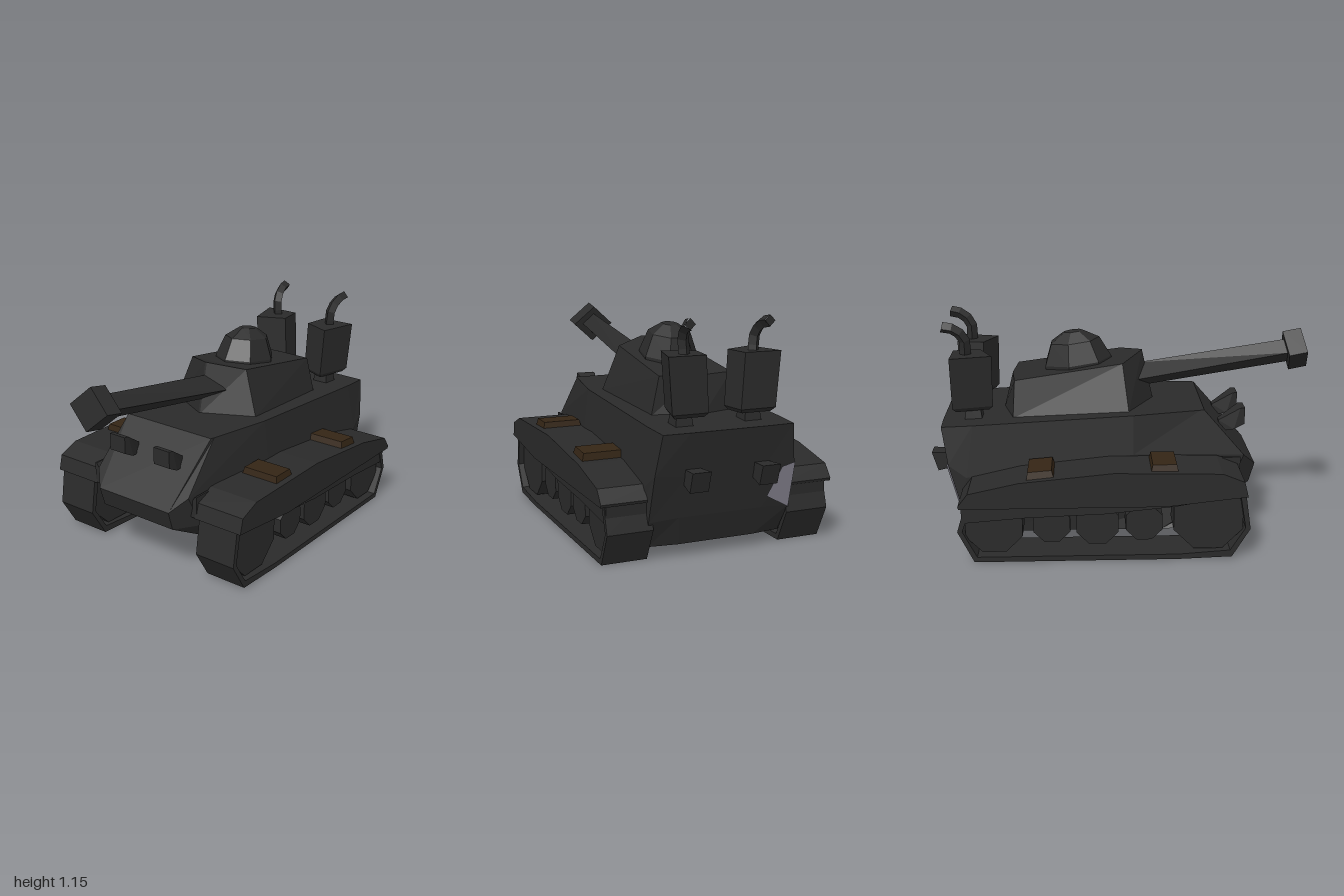
import * as THREE from 'three';

const flat = (name, color, side = THREE.FrontSide) => {
  const m = new THREE.MeshStandardMaterial({ color, flatShading: true, side });
  m.name = name;
  return m;
};

// Join rings of points with quads and close both ends; flipped if inside out.
function loft(rings) {
  const pos = [];
  const n = rings[0].length;
  const quad = (a, b, c, d) => pos.push(...a, ...b, ...c, ...a, ...c, ...d);
  for (let k = 0; k < rings.length - 1; k++)
    for (let i = 0; i < n; i++) {
      const j = (i + 1) % n;
      quad(rings[k][i], rings[k][j], rings[k + 1][j], rings[k + 1][i]);
    }
  const cap = (r, up) => {
    for (let i = 0; i < n / 2 - 1; i++) {
      const q = [r[i], r[i + 1], r[n - 2 - i], r[n - 1 - i]];
      quad(...(up ? q : q.reverse()));
    }
  };
  cap(rings[0], false);
  cap(rings[rings.length - 1], true);
  let volume = 0;
  const v = i => new THREE.Vector3().fromArray(pos, i);
  for (let i = 0; i < pos.length; i += 9) volume += v(i).dot(v(i + 3).cross(v(i + 6)));
  if (volume < 0)
    for (let i = 0; i < pos.length; i += 9)
      for (let k = 0; k < 3; k++) [pos[i + 3 + k], pos[i + 6 + k]] = [pos[i + 6 + k], pos[i + 3 + k]];
  const g = new THREE.BufferGeometry();
  g.setAttribute('position', new THREE.Float32BufferAttribute(pos, 3));
  g.computeVertexNormals();
  return g;
}

// Full ring from the points of its +x half.
const mirrorRing = half => [...half, ...half.map(([x, y, z]) => [-x, y, z]).reverse()];

// Rectangles lying flat (in xz) or upright (in xy), and an upright diamond
const flatRect = (x, y, z, w, d) =>
  [[x - w / 2, y, z - d / 2], [x + w / 2, y, z - d / 2], [x + w / 2, y, z + d / 2], [x - w / 2, y, z + d / 2]];
const uprightRect = (x, y, z, w, h, lean = 0) =>
  [[x - w / 2, y - h / 2, z - lean], [x + w / 2, y - h / 2, z - lean],
    [x + w / 2, y + h / 2, z + lean], [x - w / 2, y + h / 2, z + lean]];
const diamond = (y, z, rx, ry) => [[rx, y, z], [0, y + ry, z], [-rx, y, z], [0, y - ry, z]];

// Extrude a side profile of [z, y] points from x0 to x1 on side s.
function sideExtrude(profile, s, x0, x1, hole) {
  const pts = p => p.map(([z, y]) => new THREE.Vector2(-z, y));
  const shape = new THREE.Shape(pts(profile));
  if (hole) shape.holes.push(new THREE.Path(pts(hole)));
  const g = new THREE.ExtrudeGeometry(shape, { depth: x1 - x0, bevelEnabled: false });
  g.rotateY(Math.PI / 2);
  return g.translate(s > 0 ? x0 : -x1, 0, 0);
}

export function createModel() {
  const model = new THREE.Group();
  model.name = 'tank';
  const steel = flat('dark steel', 0x2a2a2a);
  const wood = flat('brown hatch', 0x342515);
  const pale = flat('pale grey', 0x8a8894, THREE.DoubleSide);
  const add = (name, geometry, material = steel, parent = model) => {
    const m = new THREE.Mesh(geometry, material);
    m.name = name;
    parent.add(m);
    return m;
  };

  // Hull: stacked outlines, each running from nose to tail
  add('hull', loft([
    [[0.36, 0.065, 0.25], [0.36, 0.065, 0.2], [0.36, 0.065, -0.2], [0.36, 0.065, -0.65], [0.35, 0.065, -0.78], [0.2, 0.065, -0.8]],
    [[0.23, 0.275, 0.67], [0.32, 0.28, 0.55], [0.365, 0.28, 0.05], [0.375, 0.26, -0.75], [0.37, 0.2, -0.838], [0.22, 0.21, -0.845]],
    [[0.23, 0.378, 0.7], [0.3, 0.45, 0.63], [0.362, 0.48, 0.05], [0.375, 0.37, -0.81], [0.365, 0.435, -0.9], [0.2, 0.42, -0.895]],
    [[0.275, 0.69, 0.42], [0.28, 0.69, 0.4], [0.338, 0.682, 0.05], [0.345, 0.64, -0.77], [0.338, 0.632, -0.93], [0.2, 0.632, -0.935]],
  ].map(mirrorRing))).position.x = 0.01;

  // Pale plate on the rear corner of the right side
  const plate = new THREE.BufferGeometry();
  const corners = [[-0.285, 0.42, -0.908], [-0.356, 0.437, -0.908], [-0.36, 0.195, -0.843], [-0.225, 0.27, -0.869]];
  plate.setAttribute('position', new THREE.Float32BufferAttribute([0, 2, 1, 0, 3, 2].flatMap(i => corners[i]), 3));
  plate.computeVertexNormals();
  add('rearCornerPlate', plate, pale);

  // Turret
  add('turret', loft([
    [[0.005, 0.68, 0.17], [0.265, 0.68, 0.03], [0.24, 0.645, -0.57], [0.005, 0.635, -0.63]],
    [[0.005, 0.948, 0.11], [0.18, 0.915, 0], [0.195, 0.835, -0.56], [0.005, 0.83, -0.58]],
  ].map(mirrorRing))).position.x = 0.01;

  // Seven-sided cupola
  const profile = [[0.15, -0.1], [0.148, 0.02], [0.108, 0.13], [0.042, 0.178], [0, 0.18]]
    .map(p => new THREE.Vector2(...p));
  const cupola = add('cupola', new THREE.LatheGeometry(profile, 7));
  cupola.position.set(0.01, 0.875, -0.235);
  cupola.rotation.x = -0.12;
  cupola.scale.z = 1.25;

  // Gun: diamond section, rising and tapering forward
  add('barrel', loft([diamond(0.81, 0.08, 0.11, 0.065), diamond(0.938, 0.9, 0.066, 0.062)])).position.x = 0.012;
  const muzzle = add('muzzle', new THREE.CylinderGeometry(0.107, 0.107, 0.098, 4));
  muzzle.position.set(0.012, 0.943, 0.932);
  muzzle.rotation.x = Math.PI / 2 - 0.19;
  muzzle.scale.x = 1.12;

  // Profiles [z, y] of the running gear
  const fender = [[0.61, 0.34], [0.59, 0.42], [0.48, 0.465], [-0.06, 0.476], [-0.53, 0.43], [-0.78, 0.375],
    [-0.83, 0.31], [-0.825, 0.296], [0.2, 0.296], [0.55, 0.335]];
  const skirt = [[0.59, 0.36], [-0.5, 0.36], [-0.82, 0.31], [-0.815, 0.21], [-0.5, 0.235], [-0.1, 0.25], [0.25, 0.285], [0.58, 0.34]];
  const track = [[0.6, 0.36], [0.63, 0.16], [0.54, 0.01], [0.27, 0], [-0.76, 0], [-0.84, 0.165], [-0.79, 0.33]];
  const trackHole = [[0.575, 0.34], [0.605, 0.165], [0.53, 0.045], [0.27, 0.027], [-0.745, 0.027], [-0.815, 0.165], [-0.765, 0.31]];
  const wheels = [[0.42, 0.22, 0.19], [0.095, 0.19, 0.1], [-0.14, 0.185, 0.115], [-0.37, 0.185, 0.1], [-0.66, 0.185, 0.155]];

  for (const s of [1, -1]) {
    const side = new THREE.Group();
    side.name = s > 0 ? 'leftRunningGear' : 'rightRunningGear';
    model.add(side);
    add('fender', sideExtrude(fender, s, 0.33, 0.61), steel, side);
    add('skirt', sideExtrude(skirt, s, 0.33, 0.582), steel, side);
    add('track', sideExtrude(track, s, 0.355, 0.585, trackHole), steel, side);
    for (const [z, y, r] of wheels) {
      const g = new THREE.CylinderGeometry(r, r, 0.18, 8);
      g.rotateY(Math.PI / 8).rotateZ(Math.PI / 2);
      add('wheel', g, steel, side).position.set(s * 0.465, y, z);
    }
    // Flare joining the front of the fender to the hull
    add('fenderFlare', loft([0.3, 0.605].map(z =>
      [[s * 0.34, 0.34, z], [s * 0.255, 0.34, z], [s * 0.33, 0.455, z], [s * 0.34, 0.455, z]])), steel, side);

    // Brown hatches on the fender
    for (const [z, y, tilt] of [[0.195, 0.465, 0], [-0.422, 0.438, -0.08]]) {
      const hatch = add('fenderHatch', loft([flatRect(0, -0.02, 0, 0.222, 0.145), flatRect(0, 0.038, 0, 0.195, 0.12)]), wood, side);
      hatch.position.set(s * 0.47, y, z);
      hatch.rotation.x = tilt;
    }

    // Headlamp flaring forward, and rear stub flaring backward
    const lx = s * 0.145 + 0.01;
    add('headlamp', loft([uprightRect(lx, 0.57, 0.51, 0.045, 0.06), uprightRect(lx, 0.615, 0.605, 0.105, 0.115, 0.015),
      uprightRect(lx, 0.63, 0.645, 0.1, 0.088)]));
    const rx = s * 0.18 + 0.005;
    add('rearStub', loft([uprightRect(rx, 0.42, -0.82, 0.06, 0.06), uprightRect(rx, 0.41, -0.985, 0.095, 0.1, -0.015)]));

    // Exhaust: neck, tapered box and bent pipe
    const exhaust = new THREE.Group();
    exhaust.name = s > 0 ? 'leftExhaust' : 'rightExhaust';
    exhaust.position.x = 0.01;
    model.add(exhaust);
    const ring = (y, grow, out) => [[0.29, -0.88], [0.235, -0.67], [0.08, -0.74], [0.1, -0.88]]
      .map(([x, z]) => [s * (0.18 + (x - 0.18) * grow + out), y, -0.78 + (z + 0.78) * grow]);
    add('neck', loft([flatRect(s * 0.18, 0.6, -0.775, 0.1, 0.1), flatRect(s * 0.18, 0.71, -0.775, 0.07, 0.07)]), steel, exhaust);
    add('box', loft([ring(0.685, 0.8, -0.018), ring(0.705, 0.97, -0.018), ring(0.975, 1, 0)]), steel, exhaust);
    const bend = new THREE.CatmullRomCurve3([[0.178, 0.95, -0.81], [0.185, 1.05, -0.81], [0.195, 1.105, -0.855], [0.203, 1.122, -0.92]]
      .map(([x, y, z]) => new THREE.Vector3(s * x, y, z)));
    add('pipe', new THREE.TubeGeometry(bend, 5, 0.029, 4), steel, exhaust);
    const end = add('pipeEnd', new THREE.CircleGeometry(0.028, 4), steel, exhaust);
    end.position.set(s * 0.203, 1.122, -0.92);
    end.rotation.y = Math.PI;
  }
  return model;
}
